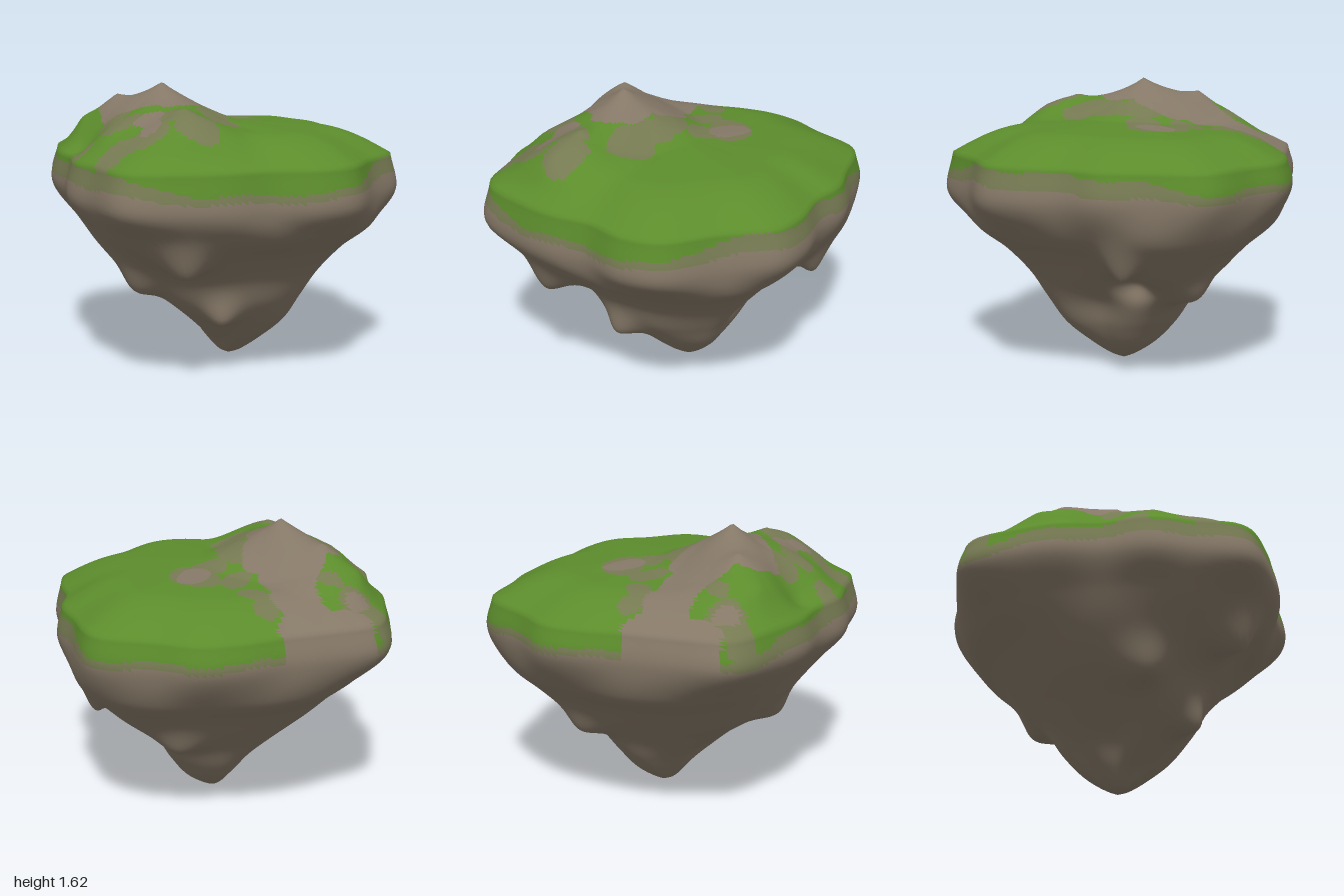
import * as THREE from 'three';

const COLS = 160, TOP = 50, SIDE = 80;

// rim outline seen from above, as x, z pairs, rounded by a closed curve
const OUTLINE = new THREE.CatmullRomCurve3([
  [0.94, -0.2], [0.91, 0.03], [0.94, 0.26], [0.9, 0.48], [0.68, 0.68], [0.45, 0.94], [0.23, 0.99], [0, 0.94],
  [-0.24, 0.96], [-0.46, 0.93], [-0.78, 0.81], [-0.88, 0.5], [-0.94, 0.28], [-0.91, 0.03], [-0.93, -0.2], [-0.9, -0.4],
  [-0.78, -0.75], [-0.46, -0.86], [-0.23, -0.91], [0, -0.98], [0.23, -1], [0.45, -0.9], [0.78, -0.75], [0.88, -0.42],
].map(([x, z]) => new THREE.Vector3(x, 0, z)), true).getPoints(120).slice(0, -1);

// underside radius at each level, in eight directions from +x towards +z
const LEVELS = [0.85, 0.7, 0.55, 0.4, 0.25, 0.12, 0.03];
const RADII = [
  [0.78, 0.62, 0.48, 0.33, 0.27, 0.18, 0.07],
  [0.88, 0.70, 0.56, 0.46, 0.36, 0.21, 0.08],
  [0.88, 0.68, 0.54, 0.46, 0.33, 0.19, 0.07],
  [0.98, 0.80, 0.61, 0.50, 0.32, 0.14, 0.05],
  [0.86, 0.76, 0.62, 0.42, 0.22, 0.13, 0.05],
  [0.92, 0.74, 0.58, 0.41, 0.25, 0.14, 0.05],
  [0.87, 0.71, 0.57, 0.42, 0.32, 0.20, 0.07],
  [0.95, 0.80, 0.63, 0.43, 0.31, 0.20, 0.07],
];

// hills on top: x, z, height, radius
const HILLS = [
  [-0.35, 0.04, 0.24, 0.46], [-0.54, -0.25, 0.13, 0.38], [-0.35, 0.47, 0.12, 0.4],
  [-0.38, 0.7, 0.07, 0.34], [-0.72, -0.35, 0.06, 0.32], [-0.7, 0.3, 0.06, 0.32], [-0.83, -0.03, -0.06, 0.22],
];

// local pulls on the underside: centre, offset, radius
const PULLS = [
  [[0.72, 0.78, -0.26], [0, -0.16, 0], 0.09], // hanging spur
  [[0.46, 0.57, -0.22], [-0.22, 0.06, 0], 0.11], // cave
  [[-0.44, 0.72, 0.72], [0, -0.12, 0.05], 0.13], // front lip
  [[0.28, 0.55, -0.46], [0.02, -0.07, -0.05], 0.12], // back ledge
  [[-0.5, 0.58, 0.2], [-0.05, -0.08, 0.03], 0.13], // side lump
  [[-0.12, 0.36, 0.42], [-0.02, -0.06, 0.06], 0.1], // front foot
];

// bare patches: x, z, radius
const ROCK_SPOTS = [
  [-0.58, -0.82, 0.16], [-0.4, -0.82, 0.18], [-0.33, -0.6, 0.15], [-0.3, -0.42, 0.15], [-0.38, -0.25, 0.18],
  [-0.5, -0.13, 0.18], [-0.26, -0.12, 0.17], [-0.4, 0.05, 0.18], [-0.25, 0.12, 0.12], [-0.33, 0.22, 0.1],
  [-0.53, 0.37, 0.07], [-0.54, 0.5, 0.06], [0.17, -0.25, 0.1], [-0.64, -0.6, 0.06],
];
const MOSS_SPOTS = [
  [-0.14, -0.68, 0.09], [-0.12, -0.57, 0.08], [-0.02, -0.34, 0.09], [0.12, -0.31, 0.11], [0.23, -0.2, 0.1],
  [0.06, -0.12, 0.1], [-0.1, -0.05, 0.13], [-0.1, 0.15, 0.1], [-0.12, 0.33, 0.13], [-0.4, 0.5, 0.11],
  [-0.34, 0.64, 0.12], [-0.55, 0.56, 0.1], [-0.62, 0.26, 0.1], [-0.72, 0.5, 0.1], [-0.8, 0.6, 0.08],
  [-0.64, -0.6, 0.1], [-0.78, -0.68, 0.09], [-0.55, -0.47, 0.06], [-0.9, 0.18, 0.09], [-0.62, 0.1, 0.1],
];

const sat = v => Math.min(1, Math.max(0, v));

// distance from the middle to the rim along an angle
function rimRadius(a) {
  const dx = Math.cos(a), dz = Math.sin(a);
  for (let i = 0; i < OUTLINE.length; i++) {
    const p = OUTLINE[i], q = OUTLINE[(i + 1) % OUTLINE.length];
    const cp = dx * p.z - dz * p.x, cq = dx * q.z - dz * q.x;
    if (cp <= 0 && cq > 0) return p.clone().lerp(q, cp / (cp - cq)).length();
  }
  return 0.95;
}

function underRadius(a, level) {
  const u = a / (Math.PI / 4), i = Math.floor(u) % 8, f = u - Math.floor(u);
  const k = f * f * (3 - 2 * f);
  return RADII[i][level] * (1 - k) + RADII[(i + 1) % 8][level] * k;
}

function topHeight(x, z, t) {
  let h = 1.22 + 0.12 * Math.sin(sat((1 - t) / 0.4) * Math.PI / 2) + (0.06 + 0.03 * z) * (1 - t);
  for (const [hx, hz, amp, r] of HILLS) {
    h += amp * sat(1 - Math.hypot(x - hx, z - hz) / r) ** 1.4 * sat((1 - t) / 0.15);
  }
  return h;
}

// one column of points from the summit centre, over the rim, to the bottom tip
function column(a) {
  const rim = rimRadius(a), c = Math.cos(a), s = Math.sin(a), pts = [];
  for (let i = 0; i <= TOP; i++) {
    const t = i / TOP, r = rim * 0.965 * t;
    pts.push(new THREE.Vector3(r * c, topHeight(r * c, r * s, t), r * s));
  }
  const path = [pts[TOP], new THREE.Vector3(rim * c, 1.03 - 0.04 * s, rim * s)];
  LEVELS.forEach((y, l) => {
    const r = underRadius(a, l);
    path.push(new THREE.Vector3(0.05 + r * c, y, r * s));
  });
  path.push(new THREE.Vector3(0.06, 0, 0));
  const side = new THREE.CatmullRomCurve3(path, false, 'centripetal').getSpacedPoints(SIDE).slice(1);
  for (const p of side) {
    const from = p.clone();
    for (const [at, off, r] of PULLS) {
      const d = from.distanceTo(new THREE.Vector3(...at));
      p.addScaledVector(new THREE.Vector3(...off), Math.exp(-d * d / (r * r)));
    }
  }
  return pts.concat(side);
}

// 0 grass, 1 moss, 2 rock
function cover(x, y, z) {
  const a = Math.atan2(z, x);
  // the moss band climbs on both flanks and stays low at the front and back
  const flank = sat(Math.abs(Math.cos(a)) * 2.5 - 1) * sat(2.2 + Math.sin(a) * 3);
  const edge = 1.11 + 0.08 * flank + 0.012 * Math.sin(3 * a) + 0.01 * Math.sin(11 * a + 1);
  if (y < edge - 0.04 - 0.05 * flank) return 2;
  const wob = 0.018 * Math.sin(17 * x + 9 * z) + 0.015 * Math.sin(23 * z - 11 * x);
  const inside = spots => spots.some(([sx, sz, r]) => Math.hypot(x - sx, z - sz) < r + wob);
  if (inside(ROCK_SPOTS)) return 2;
  return y < edge || inside(MOSS_SPOTS) ? 1 : 0;
}

export function createModel() {
  const island = new THREE.Group();
  island.name = 'floatingIsland';

  const columns = Array.from({ length: COLS }, (_, j) => column(j / COLS * Math.PI * 2));
  const last = TOP + SIDE, verts = [columns[0][0]];
  for (let i = 1; i < last; i++) for (const col of columns) verts.push(col[i]);
  verts.push(columns[0][last]);
  const id = (i, j) => i === 0 ? 0 : i === last ? verts.length - 1 : 1 + (i - 1) * COLS + j % COLS;

  // sort the faces by ground cover
  const faces = [[], [], []];
  const addFace = (...f) => {
    const m = new THREE.Vector3();
    f.forEach(k => m.addScaledVector(verts[k], 1 / 3));
    faces[cover(m.x, m.y, m.z)].push(...f);
  };
  for (let i = 0; i < last; i++) {
    for (let j = 0; j < COLS; j++) {
      const a = id(i, j), b = id(i, j + 1), c = id(i + 1, j), d = id(i + 1, j + 1);
      if (i > 0) addFace(a, b, c);
      if (i < last - 1) addFace(b, d, c);
      if (i === 0) continue;
    }
  }

  // shared smooth normals across the covers
  const whole = new THREE.BufferGeometry().setFromPoints(verts);
  whole.setIndex(faces.flat());
  whole.computeVertexNormals();

  [['grass', 0x5c8c2c], ['moss', 0x767a52], ['rock', 0x857867]].forEach(([name, color], k) => {
    const geo = new THREE.BufferGeometry();
    geo.setAttribute('position', whole.attributes.position);
    geo.setAttribute('normal', whole.attributes.normal);
    geo.setIndex(faces[k]);
    const mat = new THREE.MeshStandardMaterial({ color });
    mat.name = name;
    const mesh = new THREE.Mesh(geo, mat);
    mesh.name = name;
    island.add(mesh);
  });
  return island;
}
